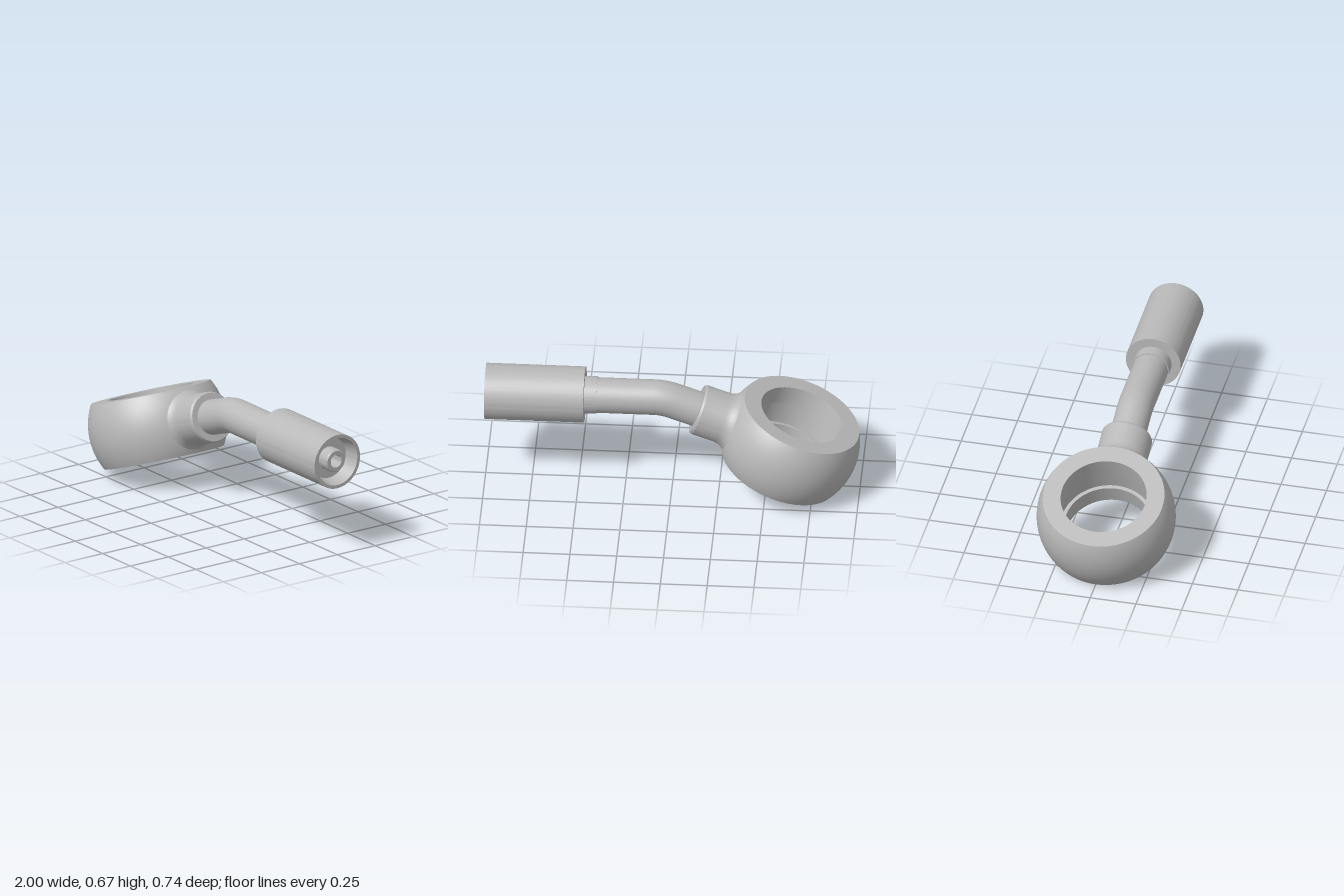
import * as THREE from 'three';
import { toCreasedNormals } from 'three/addons/utils/BufferGeometryUtils.js';

const TILT = THREE.MathUtils.degToRad(20);
const CENTRE = new THREE.Vector3(-0.628, 0.284, 0); // middle of the ring
const AXIS_Y = 0.53; // height of the straight pipe

export function createModel() {
  const model = new THREE.Group();
  model.name = 'angledBanjoFitting';
  const steel = new THREE.MeshStandardMaterial({ color: 0xb8b8b8 });
  steel.name = 'steel';

  // Turned part from [radius, height] pairs, outside listed upwards
  const turned = (name, profile, parent, alongX = false) => {
    const points = profile.map(([r, h]) => new THREE.Vector2(r, h));
    const geometry = toCreasedNormals(new THREE.LatheGeometry(points, 96), 0.5);
    if (alongX) geometry.rotateZ(-Math.PI / 2);
    const mesh = new THREE.Mesh(geometry, steel);
    mesh.name = name;
    parent.add(mesh);
    return mesh;
  };

  // Tilted head: ring and neck
  const head = new THREE.Group();
  head.name = 'head';
  head.position.copy(CENTRE);
  head.rotation.z = TILT;
  model.add(head);

  // Ring: sphere cut flat at both ends, with a grooved bore
  const half = 0.178, sphereR = 0.371, boreR = 0.23, grooveR = 0.25, grooveH = 0.072;
  const ring = [];
  const a = Math.asin(half / sphereR);
  for (let i = 0; i <= 24; i++) {
    const t = -a + (2 * a * i) / 24;
    ring.push([sphereR * Math.cos(t), sphereR * Math.sin(t)]);
  }
  ring.push([boreR, half], [boreR, grooveH], [grooveR, grooveH],
    [grooveR, -grooveH], [boreR, -grooveH], [boreR, -half], ring[0]);
  turned('banjoRing', ring, head);

  // Neck: blends out of the ring, chamfered at its end
  turned('neck', [
    [0.172, 0.32], [0.162, 0.332], [0.152, 0.344], [0.144, 0.358], [0.139, 0.374],
    [0.137, 0.392], [0.137, 0.518], [0.13, 0.53], [0.08, 0.53],
  ], head, true);

  // Bent pipe
  const dir = new THREE.Vector3(Math.cos(TILT), Math.sin(TILT), 0);
  const along = (t) => CENTRE.clone().addScaledVector(dir, t);
  const cornerT = (AXIS_Y - CENTRE.y) / dir.y;
  const corner = along(cornerT);
  const bendStart = along(cornerT - 0.055);
  const bendEnd = corner.clone().setX(corner.x + 0.055);
  const path = new THREE.CurvePath();
  path.add(new THREE.LineCurve3(along(0.5), bendStart));
  path.add(new THREE.QuadraticBezierCurve3(bendStart, corner, bendEnd));
  path.add(new THREE.LineCurve3(bendEnd, new THREE.Vector3(0.42, AXIS_Y, 0)));
  const pipe = new THREE.Mesh(new THREE.TubeGeometry(path, 80, 0.095, 64), steel);
  pipe.name = 'bentPipe';
  model.add(pipe);

  // Straight end: collar, crimp sleeve and hose nipple
  const end = new THREE.Group();
  end.name = 'hoseEnd';
  end.position.y = AXIS_Y;
  model.add(end);
  turned('collar', [[0.08, 0.405], [0.1, 0.405], [0.1, 0.48]], end, true);
  turned('crimpSleeve', [
    [0.08, 0.47], [0.15, 0.47], [0.15, 1], [0.132, 1], [0.113, 0.92], [0.05, 0.92],
  ], end, true);
  turned('hoseNipple', [
    [0.063, 0.91], [0.063, 0.982], [0.057, 0.99], [0.036, 0.99], [0.036, 0.6], [0, 0.6],
  ], end, true);

  return model;
}
